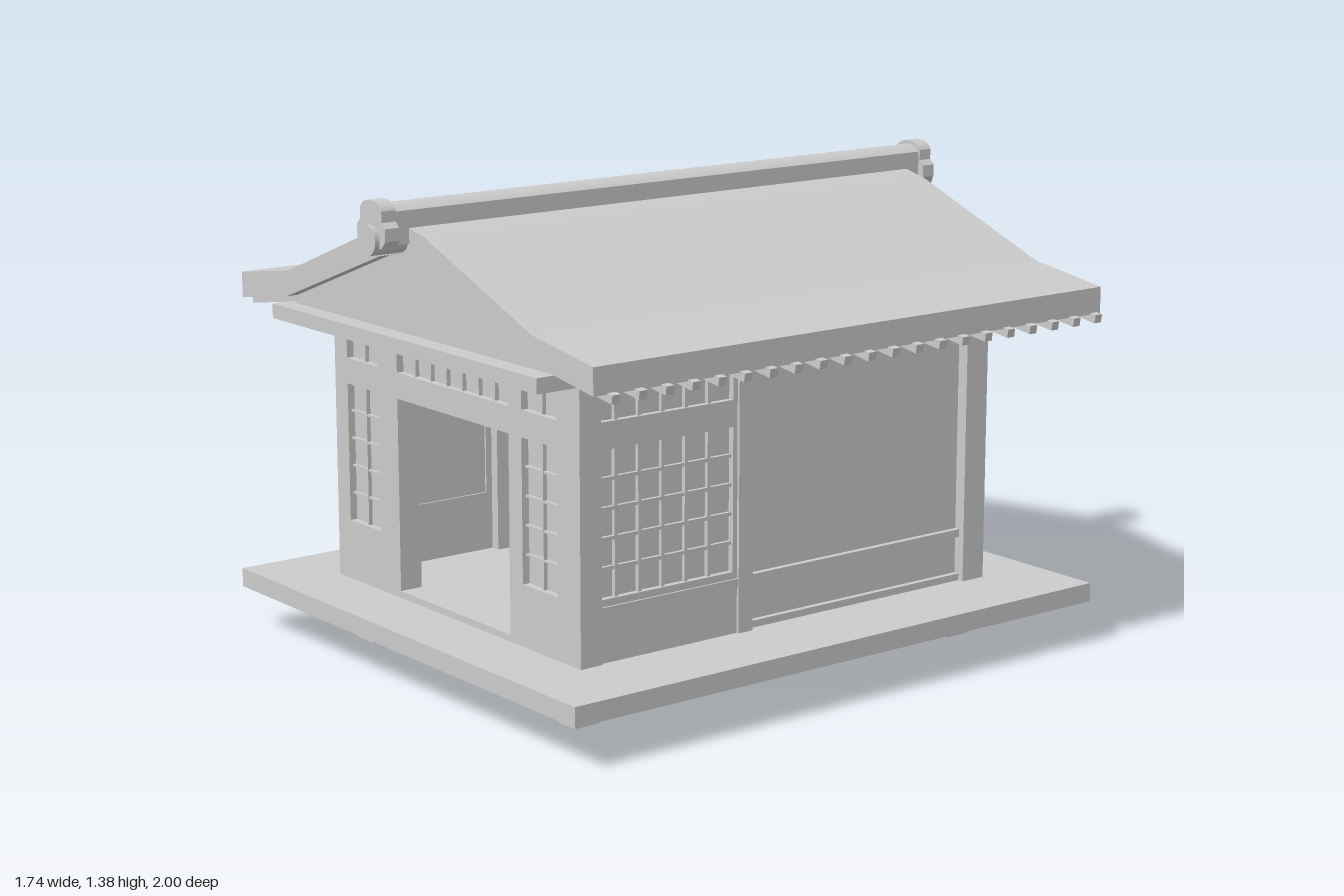
import * as THREE from 'three';

const mat = new THREE.MeshStandardMaterial({ color: 0xcccccc, flatShading: true });
const smooth = new THREE.MeshStandardMaterial({ color: 0xcccccc });

function add(parent, name, geo, material = mat) {
  const m = new THREE.Mesh(geo, material);
  m.name = name;
  parent.add(m);
  return m;
}

// Box given by its limits on each axis
function box(parent, name, x0, x1, y0, y1, z0, z1) {
  const m = add(parent, name, new THREE.BoxGeometry(x1 - x0, y1 - y0, z1 - z0));
  m.position.set((x0 + x1) / 2, (y0 + y1) / 2, (z0 + z1) / 2);
  return m;
}

function extrude(parent, name, shape, z0, z1, material = mat) {
  const geo = new THREE.ExtrudeGeometry(shape, { depth: z1 - z0, bevelEnabled: false, curveSegments: 32 });
  geo.translate(0, 0, z0);
  return add(parent, name, geo, material);
}

function rectPath(Type, x0, x1, y0, y1) {
  return new Type([[x0, y0], [x1, y0], [x1, y1], [x0, y1]].map(p => new THREE.Vector2(...p)));
}

// Wall plate with rectangular openings
function wall(parent, name, [x0, x1, y0, y1], openings, z0, z1) {
  const s = rectPath(THREE.Shape, x0, x1, y0, y1);
  openings.forEach(o => s.holes.push(rectPath(THREE.Path, ...o)));
  return extrude(parent, name, s, z0, z1);
}

// Paper screen with a lattice in front, z is the outer face of the bars
function screen(parent, [x0, x1, y0, y1], cols, rows, z, bar = 0.01) {
  const g = new THREE.Group();
  g.name = 'latticeScreen';
  parent.add(g);
  box(g, 'paper', x0 - 0.005, x1 + 0.005, y0 - 0.005, y1 + 0.005, z - 0.02, z - 0.012);
  for (let i = 1; i < cols; i++) {
    const x = x0 + (x1 - x0) * i / cols;
    box(g, 'uprightBar', x - bar / 2, x + bar / 2, y0, y1, z - 0.014, z);
  }
  for (let i = 1; i < rows; i++) {
    const y = y0 + (y1 - y0) * i / rows;
    box(g, 'crossBar', x0, x1, y - bar / 2, y + bar / 2, z - 0.014, z - 0.001);
  }
}

// Group whose local +z points out of the house
function side(parent, name, angle) {
  const g = new THREE.Group();
  g.name = name;
  g.rotation.y = angle;
  parent.add(g);
  return g;
}

const Y0 = 0.18, Y1 = 0.96, LOW = [0.355, 0.76], HIGH = [0.835, 0.905];

function frontWall(house) {
  const g = side(house, 'frontWall', 0);
  const windows = [[-0.55, -0.39], [0.31, 0.47]];
  const transom = [-0.29, 0.25, ...HIGH], door = [-0.29, 0.25, 0.2, 0.76];
  const holes = windows.flatMap(w => [[...w, ...LOW], [...w, ...HIGH]]);
  wall(g, 'frontPlate', [-0.615, 0.57, Y0, Y1], [...holes, transom, door], 0.665, 0.735);
  windows.forEach(w => {
    screen(g, [...w, ...LOW], 2, 5, 0.725, 0.006);
    screen(g, [...w, ...HIGH], 2, 1, 0.725, 0.006);
  });
  screen(g, transom, 7, 1, 0.725, 0.007);
  // sliding door, pushed open to one side
  const pane = [0.18, 0.47, ...LOW];
  wall(g, 'slidingDoor', [0.16, 0.5, 0.2, 0.78], [pane], 0.635, 0.66);
  screen(g, pane, 4, 5, 0.657, 0.007);
}

// Side section holding a tall lattice window with a transom over it
function windowBay(g, x0, x1, z) {
  const low = [x0 + 0.02, x1 - 0.02, ...LOW], high = [x0 + 0.02, x1 - 0.02, ...HIGH];
  wall(g, 'windowBay', [x0, x1, Y0, Y1], [low, high], z - 0.04, z - 0.008);
  screen(g, low, 6, 5, z - 0.014);
  screen(g, high, 6, 1, z - 0.014);
  box(g, 'bayRail', x0, x1, 0.31, 0.335, z - 0.03, z - 0.002);
  box(g, 'bayHead', x0, x1, 0.93, Y1, z - 0.03, z - 0.002);
}

// Recessed plain plaster section with a low rail
function plainBay(g, x0, x1, z) {
  box(g, 'plainPanel', x0, x1, Y0, Y1, z - 0.06, z - 0.035);
  box(g, 'lowRail', x0, x1, 0.31, 0.333, z - 0.065, z - 0.018);
  box(g, 'sill', x0, x1, Y0, 0.2, z - 0.065, z - 0.018);
  box(g, 'headRail', x0, x1, 0.935, Y1, z - 0.065, z - 0.018);
}

function sideWalls(house) {
  // local x runs toward the back here
  const l = side(house, 'leftWall', Math.PI / 2);
  windowBay(l, -0.705, -0.195, 0.57);
  box(l, 'middlePost', -0.2, -0.15, Y0, Y1, 0.5, 0.57);
  plainBay(l, -0.15, 0.65, 0.57);
  // local x runs toward the front here
  const r = side(house, 'rightWall', -Math.PI / 2);
  plainBay(r, -0.65, -0.3, 0.615);
  box(r, 'bayPost', -0.32, -0.27, Y0, Y1, 0.545, 0.615);
  windowBay(r, -0.27, 0.18, 0.615);
  box(r, 'middlePost', 0.17, 0.22, Y0, Y1, 0.545, 0.615);
  windowBay(r, 0.22, 0.705, 0.615);
}

// Round outline with its foot cut off flat
function roundPath(Type, cx, cy, r, cut) {
  const a = Math.asin((cut - cy) / r);
  const p = new Type();
  p.absarc(cx, cy, r, a, Math.PI - a, false);
  p.closePath();
  return p;
}

function backWall(house) {
  const g = side(house, 'backWall', Math.PI);
  const cx = 0.017, cy = 0.555, r = 0.27, cut = 0.35;
  const plate = rectPath(THREE.Shape, -0.52, 0.56, Y0, Y1);
  plate.holes.push(roundPath(THREE.Path, cx, cy, r, cut));
  extrude(g, 'backPlate', plate, 0.655, 0.685);
  const ring = roundPath(THREE.Shape, cx, cy, r + 0.015, cut - 0.01);
  ring.holes.push(roundPath(THREE.Path, cx, cy, r, cut));
  extrude(g, 'roundFrame', ring, 0.65, 0.7);
  extrude(g, 'roundPaper', roundPath(THREE.Shape, cx, cy, r + 0.002, cut), 0.666, 0.672);
  // lattice bars trimmed to the circle, on both faces of the paper
  for (const d of [-0.17, -0.057, 0.057, 0.17]) {
    const h = Math.sqrt(r * r - d * d);
    box(g, 'roundUpright', cx + d - 0.006, cx + d + 0.006, Math.max(cut, cy - h), cy + h, 0.655, 0.685);
  }
  for (const d of [-0.115, -0.018, 0.079, 0.176]) {
    const h = Math.sqrt(r * r - d * d);
    box(g, 'roundCrossBar', cx - h, cx + h, cy + d - 0.006, cy + d + 0.006, 0.656, 0.684);
  }
  box(g, 'lowRail', -0.5, 0.54, 0.31, 0.335, 0.645, 0.702);
  box(g, 'sill', -0.5, 0.54, Y0, 0.2, 0.645, 0.702);
  box(g, 'headBeam', -0.5, 0.54, 0.92, Y1, 0.645, 0.702);
  box(g, 'cornerPost', -0.57, -0.495, Y0, Y1, 0.64, 0.72);
  box(g, 'cornerPost', 0.54, 0.615, Y0, Y1, 0.64, 0.72);
}

function roof(house) {
  const g = new THREE.Group();
  g.name = 'roof';
  house.add(g);
  const cx = -0.004;
  const top = [[0, 1.31], [0.11, 1.285], [0.59, 1.1], [0.85, 1.06]];
  const under = [[0.85, 0.985], [0.6, 1.025], [0.115, 1.205], [0, 1.23]];
  const mirror = pts => [...pts].reverse().map(([x, y]) => [-x, y]);
  const toShape = pts => new THREE.Shape(pts.map(([x, y]) => new THREE.Vector2(x + cx, y)));
  const slab = [...top, ...under, ...mirror(under).slice(1), ...mirror(top).slice(0, -1)];
  extrude(g, 'roofSlab', toShape(slab), -0.887, 0.895);
  // gable filling at both ends, and the ceiling board below it
  const gable = [...under.slice(1), ...mirror(under).slice(1, -1), [-0.62, 0.99], [0.62, 0.99]];
  extrude(g, 'gable', toShape(gable), 0.84, 0.86);
  extrude(g, 'gable', toShape(gable), -0.855, -0.835);
  box(g, 'ceilingBoard', -0.648, 0.638, 0.958, 1.0, -0.918, 0.918);
  // rafters under both eaves
  for (let i = 0; i < 21; i++) {
    const z = -0.862 + i * 0.085;
    for (const s of [-1, 1]) {
      const rafter = add(g, 'rafter', new THREE.BoxGeometry(0.33, 0.024, 0.026));
      rafter.position.set(cx + s * 0.705, 0.999, z);
      rafter.rotation.z = -s * 0.152;
    }
  }
  // ridge: capped bar, round pole and end ornaments
  const rx = -0.015;
  const bar = new THREE.Shape();
  bar.moveTo(rx - 0.046, 1.26);
  bar.lineTo(rx + 0.046, 1.26);
  bar.lineTo(rx + 0.046, 1.35);
  bar.quadraticCurveTo(rx, 1.388, rx - 0.046, 1.35);
  extrude(g, 'ridgeBar', bar, -0.95, 0.955);
  const pole = add(g, 'ridgePole', new THREE.CylinderGeometry(0.042, 0.042, 2, 24), smooth);
  pole.rotation.x = Math.PI / 2;
  pole.position.set(rx, 1.273, 0);
  const cap = new THREE.Shape();
  cap.moveTo(rx - 0.05, 1.255);
  cap.lineTo(rx + 0.05, 1.255);
  cap.lineTo(rx + 0.068, 1.275);
  cap.lineTo(rx + 0.068, 1.31);
  cap.lineTo(rx + 0.052, 1.325);
  cap.lineTo(rx + 0.052, 1.355);
  cap.quadraticCurveTo(rx + 0.04, 1.38, rx, 1.38);
  cap.quadraticCurveTo(rx - 0.04, 1.38, rx - 0.052, 1.355);
  cap.lineTo(rx - 0.052, 1.325);
  cap.lineTo(rx - 0.068, 1.31);
  cap.lineTo(rx - 0.068, 1.275);
  extrude(g, 'ridgeEnd', cap, 0.94, 0.985);
  extrude(g, 'ridgeEnd', cap, -0.978, -0.935);
}

export function createModel() {
  const house = new THREE.Group();
  house.name = 'teaHouse';
  box(house, 'platform', -0.84, 0.81, 0.125, Y0, -0.92, 0.932);
  for (const x of [-0.545, 0.44]) for (const z of [-0.705, 0.64]) {
    box(house, 'foot', x, x + 0.08, 0, 0.125, z, z + 0.08);
  }
  frontWall(house);
  sideWalls(house);
  backWall(house);
  roof(house);
  return house;
}
